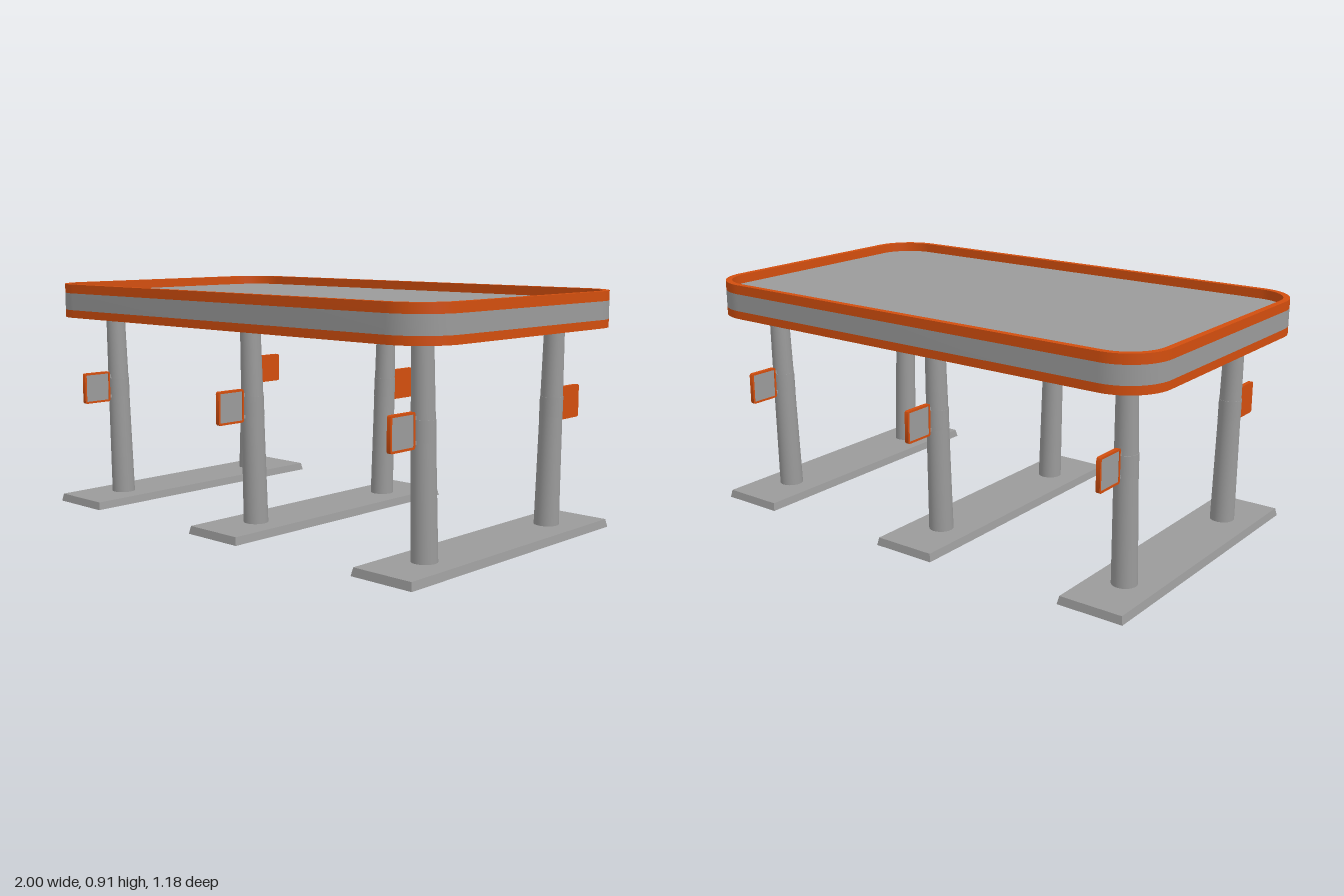
import * as THREE from 'three';
import { toCreasedNormals } from 'three/addons/utils/BufferGeometryUtils.js';

const grey = new THREE.MeshStandardMaterial({ color: 0x9a9a9a });
grey.name = 'concrete grey';
const orange = new THREE.MeshStandardMaterial({ color: 0xd24e0e });
orange.name = 'trim orange';

// Draws a rounded rectangle centred on the origin
function roundedRect(target, w, h, r) {
  const x = w / 2, y = h / 2, q = Math.PI / 2;
  target.moveTo(x, -y + r);
  target.absarc(x - r, y - r, r, 0, q);
  target.absarc(-x + r, y - r, r, q, 2 * q);
  target.absarc(-x + r, -y + r, r, 2 * q, 3 * q);
  target.absarc(x - r, -y + r, r, 3 * q, 4 * q);
  return target;
}

// Rounded plate with thickness along z; inset cuts a hole to leave a frame
function plate(w, h, r, depth, inset = 0) {
  const shape = roundedRect(new THREE.Shape(), w, h, r);
  if (inset) {
    const inner = Math.max(r - inset, 0.003);
    shape.holes.push(roundedRect(new THREE.Path(), w - 2 * inset, h - 2 * inset, inner));
  }
  const geo = new THREE.ExtrudeGeometry(shape, { depth, bevelEnabled: false, curveSegments: 12 });
  return toCreasedNormals(geo, 0.6);
}

function add(parent, name, geo, mat, x = 0, y = 0, z = 0) {
  const mesh = new THREE.Mesh(geo, mat);
  mesh.name = name;
  mesh.position.set(x, y, z);
  parent.add(mesh);
  return mesh;
}

// Horizontal rounded slab standing on height y
function slab(parent, name, mat, y, depth, inset) {
  add(parent, name, plate(2, 1.18, 0.17, depth, inset).rotateX(-Math.PI / 2), mat, 0, y, 0);
}

// Box whose top or bottom face is narrowed by a fixed margin
function taperedBox(w, h, d, margin, narrowTop) {
  const geo = new THREE.BoxGeometry(w, h, d).toNonIndexed();
  const p = geo.attributes.position;
  for (let i = 0; i < p.count; i++) {
    if ((p.getY(i) > 0) !== narrowTop) continue;
    p.setX(i, p.getX(i) - Math.sign(p.getX(i)) * margin);
    p.setZ(i, p.getZ(i) - Math.sign(p.getZ(i)) * margin);
  }
  geo.computeVertexNormals();
  return geo;
}

// Column section whose rings stay level while its axis leans outward in z
function columnSection(y0, y1, r0, r1) {
  const geo = new THREE.CylinderGeometry(r1, r0, y1 - y0, 32);
  geo.translate(0, (y0 + y1) / 2, 0);
  const p = geo.attributes.position;
  for (let i = 0; i < p.count; i++) {
    const t = (p.getY(i) - 0.03) / 0.78;
    p.setZ(i, p.getZ(i) + 0.366 + 0.023 * t);
  }
  return geo;
}

// Column with a collar and a sign held on two brackets
function buildColumn() {
  const column = new THREE.Group();
  column.name = 'column';
  add(column, 'lowerColumn', columnSection(0.025, 0.44, 0.047, 0.0425), grey);
  add(column, 'columnCollar', columnSection(0.44, 0.515, 0.0432, 0.0432), grey);
  add(column, 'upperColumn', columnSection(0.515, 0.81, 0.0415, 0.0375), grey);
  for (const y of [0.44, 0.523]) {
    add(column, 'signBracket', new THREE.BoxGeometry(0.01, 0.013, 0.04), grey, 0, y, 0.425);
  }
  const sign = new THREE.Group();
  sign.name = 'sign';
  sign.position.set(0, 0.4825, 0.4925);
  const side = (geo) => geo.rotateY(Math.PI / 2);
  add(sign, 'signBack', side(plate(0.125, 0.125, 0.009, 0.012)), orange, -0.008);
  add(sign, 'signFrame', side(plate(0.125, 0.125, 0.009, 0.004, 0.008)), orange, 0.004);
  add(sign, 'signPanel', side(plate(0.109, 0.109, 0.004, 0.002)), grey, 0.004);
  column.add(sign);
  return column;
}

export function createModel() {
  const model = new THREE.Group();
  model.name = 'canopy shelter';

  // Roof: solid band with a raised rim above and a lowered rim below
  slab(model, 'roofBand', grey, 0.806, 0.068, 0);
  slab(model, 'roofTopRim', orange, 0.874, 0.036, 0.025);
  slab(model, 'roofBottomRim', orange, 0.775, 0.031, 0.025);

  // Ceiling lamps
  for (const x of [-0.41, 0.41]) {
    for (const z of [-0.28, 0.28]) {
      add(model, 'ceilingLamp', taperedBox(0.125, 0.016, 0.125, 0.01, false), grey, x, 0.798, z);
    }
  }

  // Three base strips, each with a pair of opposite columns
  for (const x of [-0.82, 0, 0.82]) {
    add(model, 'baseStrip', taperedBox(0.26, 0.03, 1.18, 0.006, true), grey, x, 0.015, 0);
    for (const turn of [0, Math.PI]) {
      const column = buildColumn();
      column.position.x = x;
      column.rotation.y = turn;
      model.add(column);
    }
  }
  return model;
}
